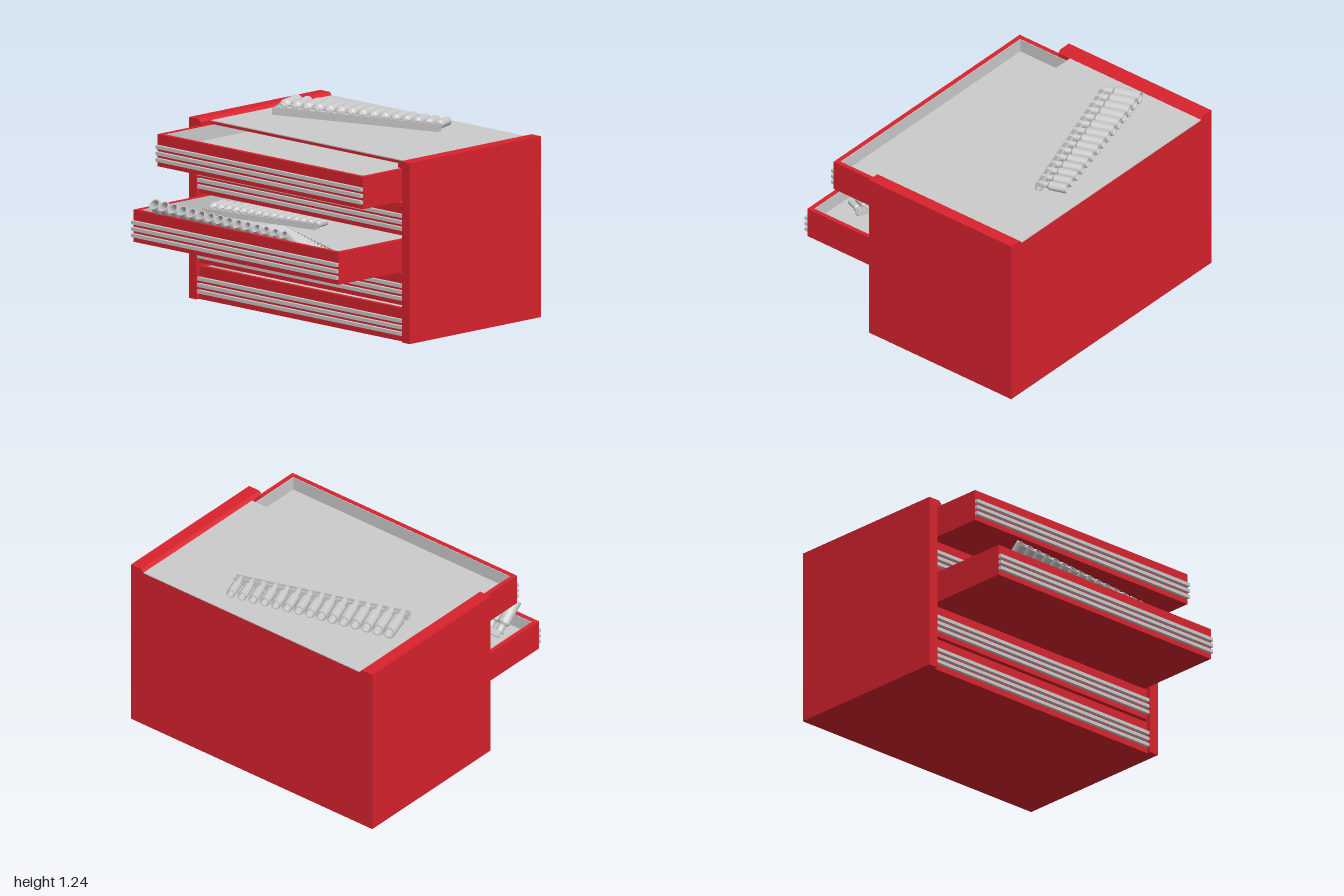
import * as THREE from 'three';
import { toCreasedNormals } from 'three/addons/utils/BufferGeometryUtils.js';

const red = new THREE.MeshStandardMaterial({ color: 0xd9222d });
const grey = new THREE.MeshStandardMaterial({ color: 0xcccccc });

function add(parent, name, geometry, material) {
  const mesh = new THREE.Mesh(geometry, material);
  mesh.name = name;
  parent.add(mesh);
  return mesh;
}

// Box given by its lower and upper limits on each axis
function box(parent, name, material, [x0, x1], [y0, y1], [z0, z1]) {
  const mesh = add(parent, name, new THREE.BoxGeometry(x1 - x0, y1 - y0, z1 - z0), material);
  mesh.position.set((x0 + x1) / 2, (y0 + y1) / 2, (z0 + z1) / 2);
  return mesh;
}

// Rectangular frame, x from 0 to length, wall thickness t, standing on y = 0
function frame(length, halfWidth, t, height) {
  const rect = (Type, x0, x1, z) => {
    const p = new Type();
    p.moveTo(x0, -z); p.lineTo(x1, -z); p.lineTo(x1, z); p.lineTo(x0, z); p.closePath();
    return p;
  };
  const shape = rect(THREE.Shape, 0, length, halfWidth);
  shape.holes.push(rect(THREE.Path, t, length - t, halfWidth - t));
  return new THREE.ExtrudeGeometry(shape, { depth: height, bevelEnabled: false }).rotateX(-Math.PI / 2);
}

// Open tray with a grey lining and three grip bars on its -x front
function drawer(x, y) {
  const g = new THREE.Group();
  g.name = 'drawer';
  const L = 1.11, W = 0.93, H = 0.21, t = 0.03, floor = 0.115;
  add(g, 'drawerWalls', frame(L, W, t, H), red);
  box(g, 'drawerBase', red, [t, L - t], [0, floor - 0.01], [t - W, W - t]);
  box(g, 'drawerFloorLiner', grey, [t, L - t], [floor - 0.01, floor], [t - W, W - t]);
  const liner = add(g, 'drawerWallLiner', frame(L - 2 * t, W - t, 0.005, H - floor - 0.003), grey);
  liner.position.set(t, floor, 0);
  for (let i = 0; i < 3; i++) {
    const h = 0.034 + i * 0.042;
    box(g, 'gripBar', grey, [-0.022, 0], [h, h + 0.023], [-W, W]);
  }
  g.position.set(x, y, 0);
  return g;
}

// Hollow wrench socket lying along +x, with a narrow drive end
function socketGeometry(r, len) {
  const profile = [[0, 0], [0.66, 0], [0.66, 0.22], [1, 0.3], [1, 1], [0.78, 1], [0.72, 0.6], [0, 0.6]]
    .map(([a, b]) => new THREE.Vector2(a * r, b * len));
  return toCreasedNormals(new THREE.LatheGeometry(profile, 18).rotateZ(-Math.PI / 2), 0.5);
}

// Row of graded sockets on a channel rail that runs along local +z
function socketRail(length, scale, count, smallFirst) {
  const g = new THREE.Group();
  g.name = 'socketRail';
  const w = 0.045 * scale, h = 0.05 * scale, t = 0.008 * scale;
  box(g, 'railBase', grey, [-w, 0], [0, t], [0, length]);
  for (const x of [-w, -t]) box(g, 'railLip', grey, [x, x + t], [0, h], [0, length]);
  const step = length / count;
  for (let i = 0; i < count; i++) {
    const k = (smallFirst ? count - 1 - i : i) / (count - 1);
    const r = (0.042 - 0.012 * k) * scale, len = (0.24 - 0.075 * k) * scale;
    const z = (i + 0.5) * step;
    add(g, 'socket', socketGeometry(r, len), grey).position.set(-0.005, r, z);
    box(g, 'railClip', grey, [-w, 0], [t, r + 0.012 * scale], [z - r * 0.4, z + r * 0.4]);
  }
  return g;
}

export function createModel() {
  const model = new THREE.Group();
  model.name = 'toolChest';
  const front = -0.295, back = 0.885;

  // Side panels with a raised, sloped lip along the top
  const profile = new THREE.Shape([[1, 0], [1, 1.18], [0.915, 1.18], [0.895, 1.16], [0.895, 1.137], [0.932, 1.137], [0.932, 0]]
    .map(([z, y]) => new THREE.Vector2(z, y)));
  const panel = new THREE.ExtrudeGeometry(profile, { depth: back - front, bevelEnabled: false })
    .rotateY(-Math.PI / 2).translate(back, 0, 0);
  add(model, 'sidePanel', panel, red);
  const other = add(model, 'sidePanel', panel, red);
  other.rotation.y = Math.PI;
  other.position.x = front + back;

  // Top, back and bottom of the cabinet
  box(model, 'topPanel', red, [-0.2, back], [1.137, 1.155], [-0.896, 0.896]);
  box(model, 'topMat', grey, [-0.2, back], [1.155, 1.161], [-0.896, 0.896]);
  box(model, 'backPanel', red, [0.855, back], [0, 1.137], [-0.932, 0.932]);
  box(model, 'bottomPanel', red, [-0.27, 0.855], [0, 0.006], [-0.932, 0.932]);

  // Five drawers, two of them pulled out
  [-0.27, -0.27, -0.863, -0.27, -0.645].forEach((x, i) => model.add(drawer(x, 0.006 + i * 0.2298 - (i > 1 ? 0.004 : 0))));

  // Socket rails: one on the mat, two flat in the open drawer, one leaning on its front
  const place = (rail, x, y, z, ry, rz = 0) => {
    rail.position.set(x, y, z);
    rail.rotation.set(0, ry, rz);
    model.add(rail);
  };
  const floor = 0.578;
  place(socketRail(1.19, 1, 15), 0.235, 1.161, -0.755, 0.325);
  place(socketRail(0.82, 0.72, 15, true), -0.675, floor, 0.675, Math.PI - 0.38);
  place(socketRail(0.88, 0.75, 15), -0.47, floor + 0.05, -0.68, 0.19);
  place(socketRail(1.19, 0.95, 15), -0.68, floor + 0.042, -0.77, 0, 2.42);
  return model;
}
